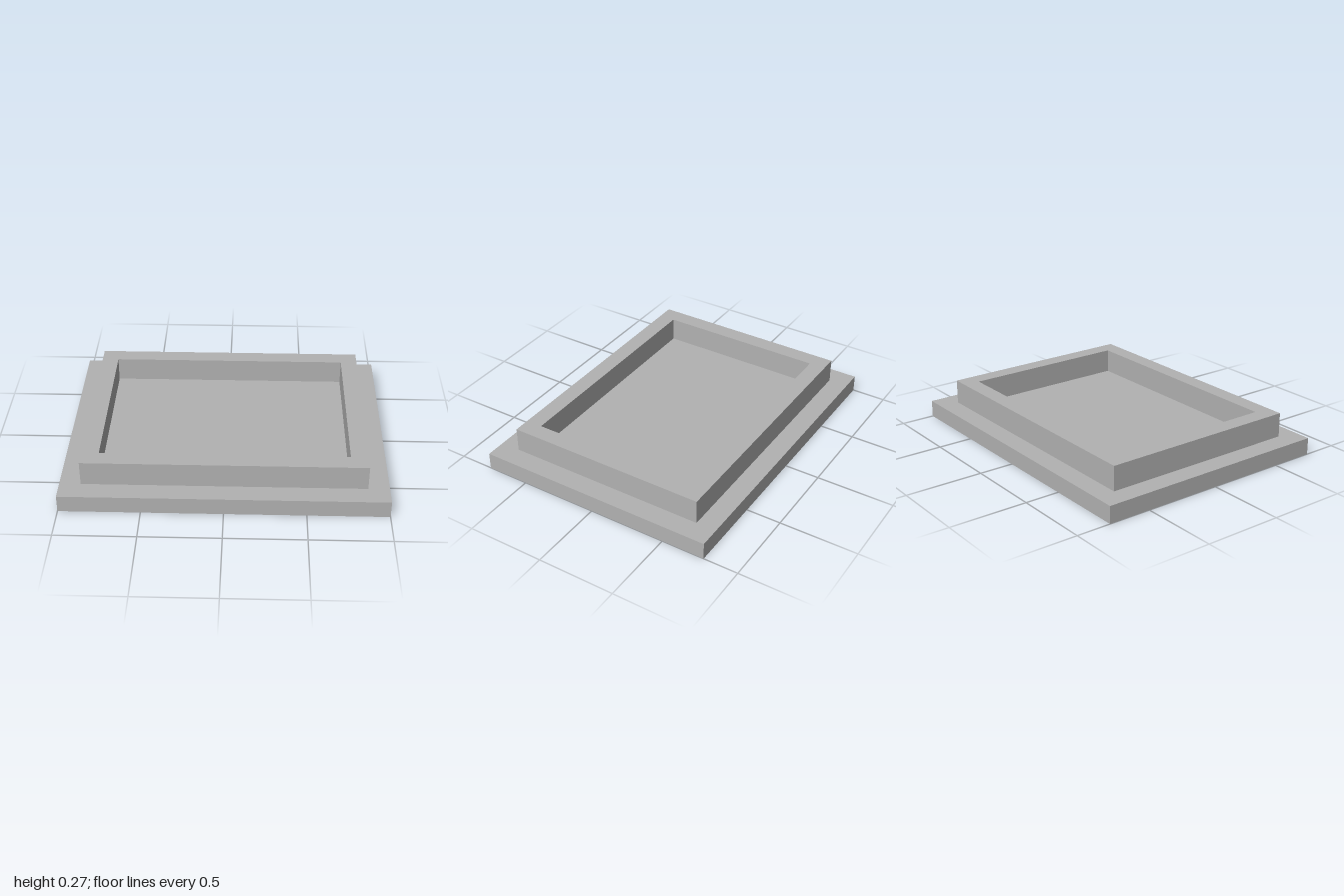
import * as THREE from 'three';

const BASE_HEIGHT = 0.11;
const RIM_HEIGHT = 0.157;

// Closed rectangle centred on the origin
function rectangle(PathType, width, depth) {
  const x = width / 2, y = depth / 2;
  return new PathType([
    new THREE.Vector2(-x, -y),
    new THREE.Vector2(x, -y),
    new THREE.Vector2(x, y),
    new THREE.Vector2(-x, y),
  ]);
}

export function createModel() {
  const model = new THREE.Group();
  model.name = 'steppedTray';

  const grey = new THREE.MeshStandardMaterial({ color: 0xb2b2b2 });
  grey.name = 'grey';

  // Flat plinth, whose top is also the floor of the recess
  const base = new THREE.Mesh(new THREE.BoxGeometry(2, BASE_HEIGHT, 1.556), grey);
  base.name = 'base';
  base.position.y = BASE_HEIGHT / 2;
  model.add(base);

  // Raised rectangular frame around the recess
  const outline = rectangle(THREE.Shape, 1.738, 1.3);
  outline.holes.push(rectangle(THREE.Path, 1.524, 1.086));
  const rimGeometry = new THREE.ExtrudeGeometry(outline, { depth: RIM_HEIGHT, bevelEnabled: false });
  rimGeometry.rotateX(-Math.PI / 2);
  const rim = new THREE.Mesh(rimGeometry, grey);
  rim.name = 'rim';
  rim.position.y = BASE_HEIGHT;
  model.add(rim);

  return model;
}
